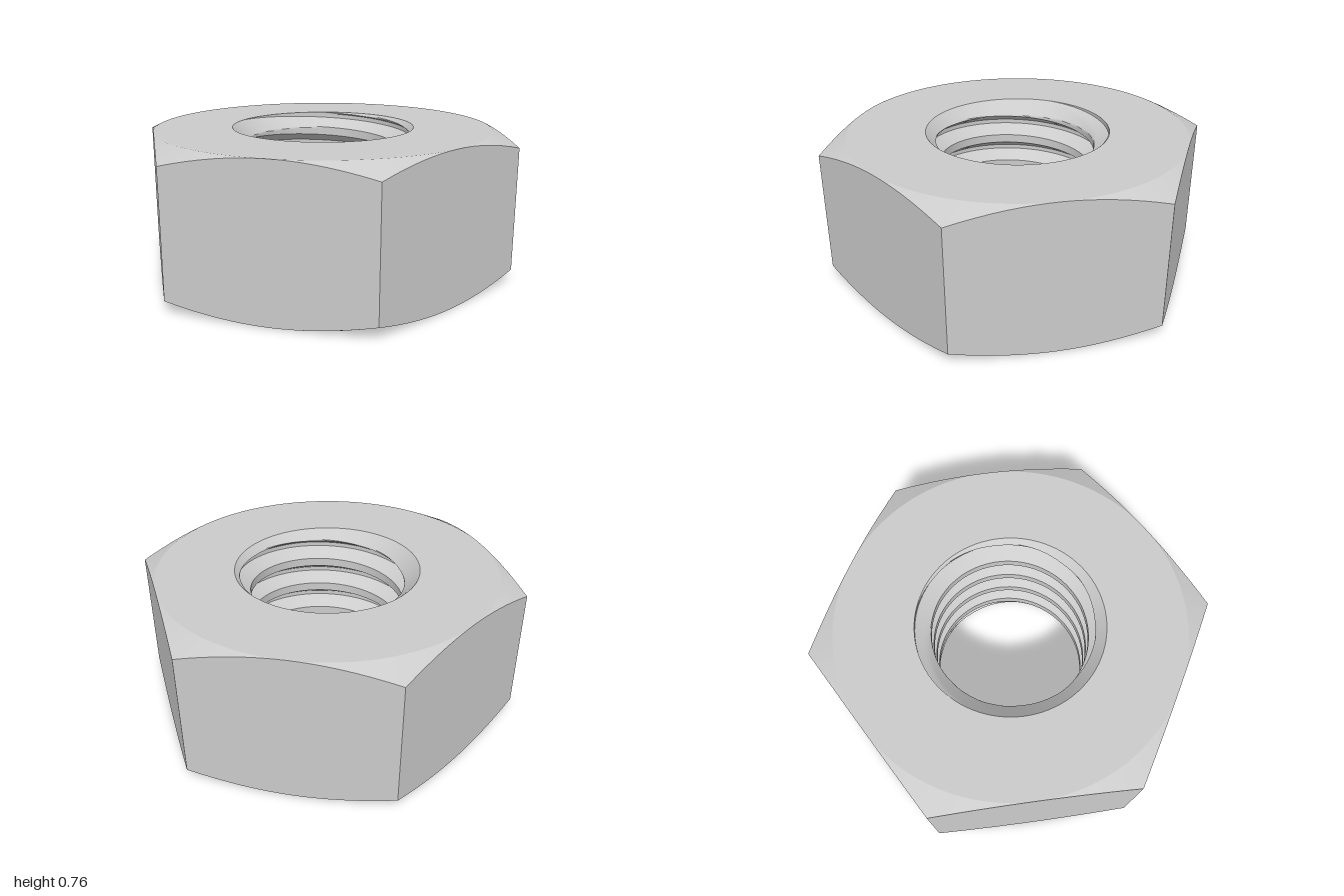
import * as THREE from 'three';
import { toCreasedNormals } from 'three/addons/utils/BufferGeometryUtils.js';

const H = 0.76;            // nut height
const FLAT = Math.sqrt(3) / 2; // centre to flat
const MINOR = 0.395, MAJOR = 0.47; // thread crest and root radii
const PITCH = 0.157;
const ROOT = 0.011, EDGE = 0.056; // half widths of groove floor and groove mouth
const COLS = 96;

const clamp = THREE.MathUtils.clamp;

// Skin swept around y: profile(angle) returns a list of [radius, height]
function sweep(profile) {
  const rings = [];
  for (let i = 0; i <= COLS; i++) {
    const t = (i / COLS) * Math.PI * 2;
    rings.push(profile(t).map(([r, y]) => new THREE.Vector3(r * Math.cos(t), y, -r * Math.sin(t))));
  }
  const pos = [];
  const tri = (a, b, c) => {
    const area = b.clone().sub(a).cross(c.clone().sub(a)).length();
    if (area > 1e-9) for (const p of [a, b, c]) pos.push(p.x, p.y, p.z);
  };
  for (let i = 0; i < COLS; i++) {
    const A = rings[i], B = rings[i + 1];
    for (let j = 0; j < A.length - 1; j++) {
      tri(A[j], A[j + 1], B[j]);
      tri(B[j], A[j + 1], B[j + 1]);
    }
  }
  const g = new THREE.BufferGeometry();
  g.setAttribute('position', new THREE.Float32BufferAttribute(pos, 3));
  return toCreasedNormals(g, 0.3);
}

// Hexagon with conical corner chamfers on both ends
function hexProfile(t) {
  const sector = Math.PI / 3;
  const off = t - Math.round(t / sector) * sector;
  const r = FLAT / Math.cos(off);
  const drop = (r - FLAT) * 0.485;
  return [[MAJOR, H], [FLAT, H], [r, H - drop], [r, drop], [FLAT, 0], [MAJOR, 0]];
}

// Right-hand threaded bore with 45 degree countersinks
function boreProfile(t) {
  const start = 0.708 + (PITCH * t) / (Math.PI * 2);
  const radius = (y) => {
    const n = (y - start) / PITCH;
    const u = Math.abs(n - Math.round(n)) * PITCH;
    const groove = MAJOR - ((u - ROOT) * (MAJOR - MINOR)) / (EDGE - ROOT);
    const sink = MAJOR - Math.min(y, H - y);
    return Math.max(clamp(groove, MINOR, MAJOR), sink);
  };
  const breaks = [];
  for (let k = -6; k <= 1; k++) {
    for (const o of [-EDGE, -ROOT, ROOT, EDGE]) breaks.push(start + k * PITCH + o);
  }
  const pts = [];
  const steps = 6;
  for (let i = 0; i < breaks.length - 1; i++) {
    for (let s = 0; s <= steps; s++) {
      if (s === steps && i < breaks.length - 2) continue;
      const y = clamp(THREE.MathUtils.lerp(breaks[i], breaks[i + 1], s / steps), 0, H);
      pts.push([radius(y), y]);
    }
  }
  return pts;
}

export function createModel() {
  const group = new THREE.Group();
  group.name = 'hexNut';
  const material = new THREE.MeshStandardMaterial({ color: 0xcccccc });
  const add = (name, profile) => {
    const mesh = new THREE.Mesh(sweep(profile), material);
    mesh.name = name;
    group.add(mesh);
  };
  add('hexBody', hexProfile);
  add('threadedBore', boreProfile);
  return group;
}
